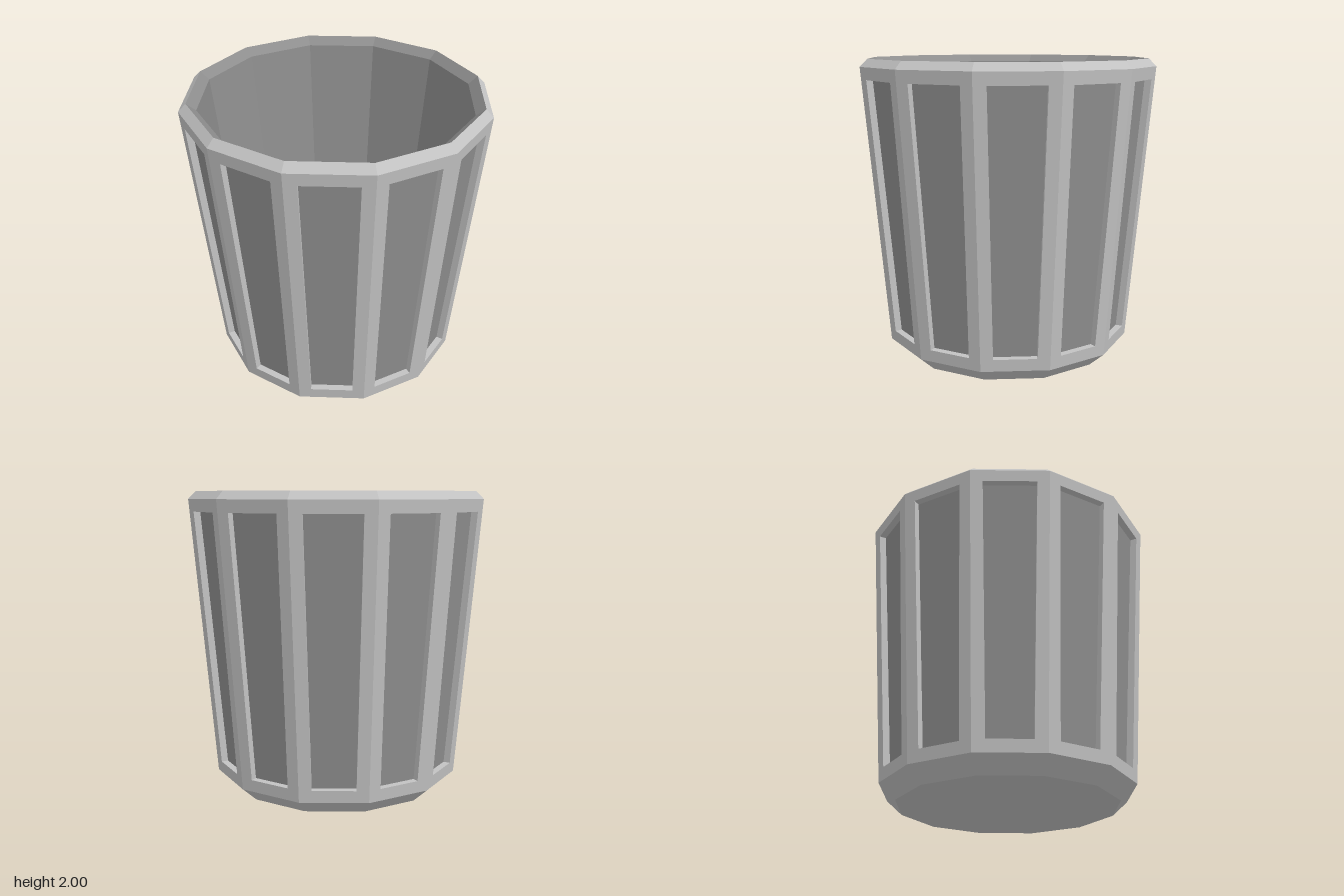
import * as THREE from 'three';

const SIDES = 12;
const HALF = Math.PI / SIDES;
const BASE_Y = 0.1, BASE_R = 0.84, RIM_Y = 1.95, RIM_R = 0.99;
const PANEL_BOTTOM = 0.18, PANEL_TOP = 1.87, MARGIN = 0.08, DEPTH = 0.045;

// Point on one tapered wall facet: side is -1 or 1, inset narrows it, depth sinks it
function wallPoint(side, y, inset = 0, depth = 0) {
  const r = BASE_R + (RIM_R - BASE_R) * (y - BASE_Y) / (RIM_Y - BASE_Y);
  return [side * (r * Math.sin(HALF) - inset), y, r * Math.cos(HALF) - depth];
}

// Corners of a facet rectangle, counter-clockwise from the lower left
function corners(y0, y1, inset, depth) {
  return [[-1, y0], [1, y0], [1, y1], [-1, y1]].map(([s, y]) => wallPoint(s, y, inset, depth));
}

function quads(list) {
  const pos = [];
  for (const [a, b, c, d] of list) pos.push(...a, ...b, ...c, ...a, ...c, ...d);
  const g = new THREE.BufferGeometry();
  g.setAttribute('position', new THREE.Float32BufferAttribute(pos, 3));
  g.computeVertexNormals();
  return g;
}

// Strip of four quads joining an outer rectangle to an inner one
function border(outer, inner) {
  return outer.map((p, i) => {
    const j = (i + 1) % 4;
    return [p, outer[j], inner[j], inner[i]];
  });
}

function lathe(points) {
  const g = new THREE.LatheGeometry(points.map(p => new THREE.Vector2(...p)), SIDES).toNonIndexed();
  g.computeVertexNormals();
  return g;
}

export function createModel() {
  const group = new THREE.Group();
  const frameGrey = new THREE.MeshStandardMaterial({ color: 0xc2c2c2 });
  const panelGrey = new THREE.MeshStandardMaterial({ color: 0x8e8e8e });
  frameGrey.name = 'light grey';
  panelGrey.name = 'mid grey';

  const add = (name, geometry, material, parent = group) => {
    const mesh = new THREE.Mesh(geometry, material);
    mesh.name = name;
    parent.add(mesh);
  };

  // Underside, rim and hollow interior
  add('base', lathe([[0, 0], [0.73, 0], [BASE_R, BASE_Y]]), frameGrey);
  add('rim', lathe([[RIM_R, RIM_Y], [0.94, 2]]), frameGrey);
  add('interior', lathe([[0.94, 2], [0.88, 1.95], [0.69, 0.1], [0, 0.1]]), panelGrey);

  // Twelve wall facets, each a frame around a sunken panel
  const edge = corners(BASE_Y, RIM_Y, 0, 0);
  const opening = corners(PANEL_BOTTOM, PANEL_TOP, MARGIN, 0);
  const sunken = corners(PANEL_BOTTOM, PANEL_TOP, MARGIN, DEPTH);
  const frame = quads([...border(edge, opening), ...border(opening, sunken)]);
  const panel = quads([sunken]);
  for (let i = 0; i < SIDES; i++) {
    const facet = new THREE.Group();
    facet.name = 'wallFacet';
    facet.rotation.y = HALF * (2 * i + 1);
    add('facetFrame', frame, frameGrey, facet);
    add('sunkenPanel', panel, panelGrey, facet);
    group.add(facet);
  }
  return group;
}
